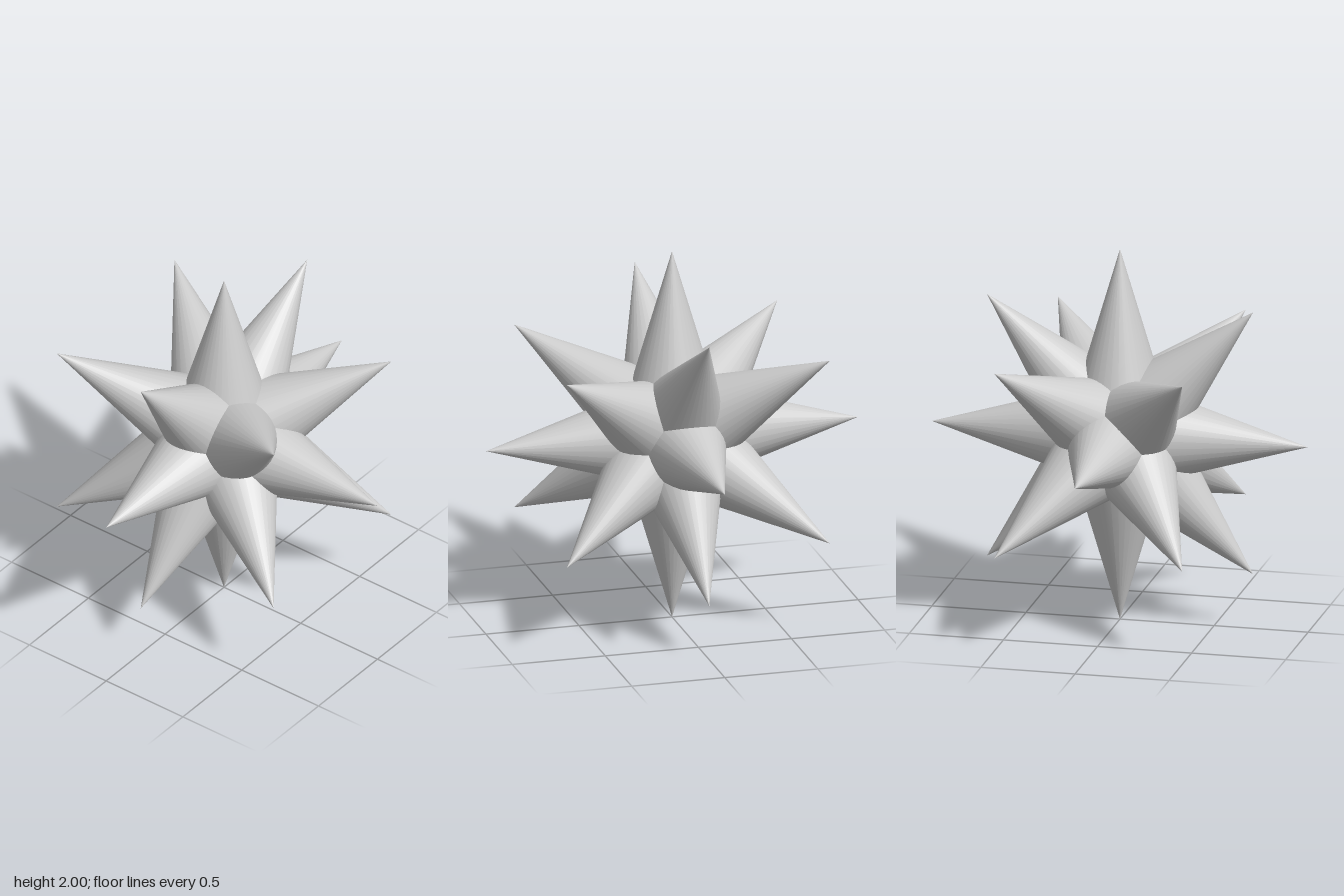
import * as THREE from 'three';

const RADIUS = 0.295, LENGTH = 1, SIDES = 32;

export function createModel() {
  const star = new THREE.Group();
  star.name = 'star';
  const material = new THREE.MeshStandardMaterial({ color: 0xcccccc });

  // One spike, its base at the star's centre and its tip along +y
  const spike = new THREE.ConeGeometry(RADIUS, LENGTH, SIDES);
  spike.translate(0, LENGTH / 2, 0);

  const up = new THREE.Vector3(0, 1, 0);
  const addSpike = (name, elevation, azimuth) => {
    const flat = Math.cos(elevation);
    const direction = new THREE.Vector3(
      flat * Math.cos(azimuth), flat * Math.sin(azimuth), Math.sin(elevation));
    const mesh = new THREE.Mesh(spike, material);
    mesh.name = name;
    mesh.quaternion.setFromUnitVectors(up, direction);
    mesh.position.y = 1;
    star.add(mesh);
  };

  // Ring of eight spikes in the upright plane
  for (let i = 0; i < 8; i++) addSpike('ringSpike', 0, i * Math.PI / 4);

  // Four slanted spikes and one axial spike on the front and on the back
  for (const side of [1, -1]) {
    const label = side > 0 ? 'front' : 'back';
    for (let i = 0; i < 4; i++) {
      addSpike(label + 'SlantedSpike', side * Math.PI / 4, Math.PI / 4 + i * Math.PI / 2);
    }
    addSpike(label + 'Spike', side * Math.PI / 2, 0);
  }
  return star;
}
